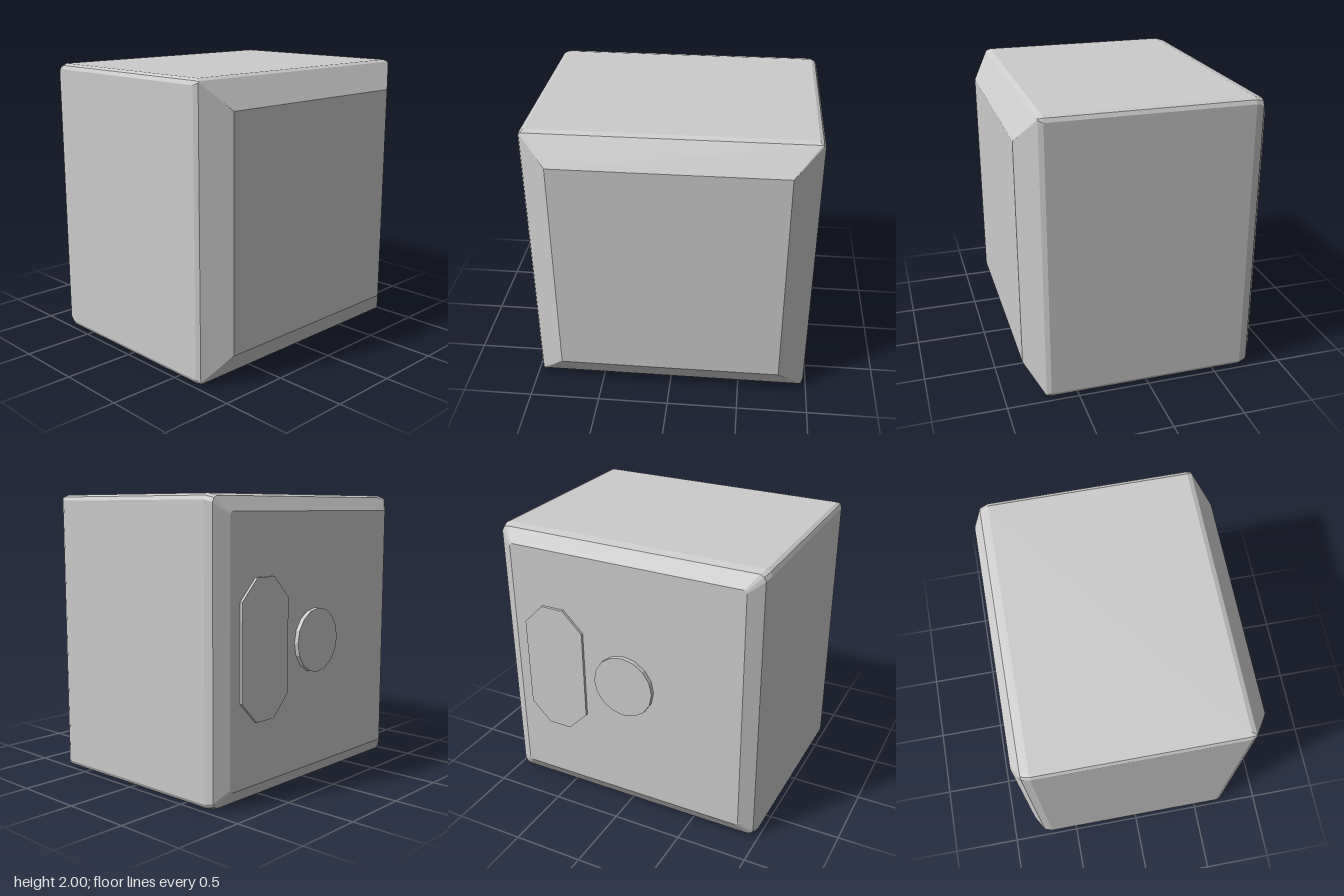
import * as THREE from 'three';

// Rectangle outline with two-step rounded corners, counterclockwise seen from +z
function section([z, hx, hy, c]) {
  const corner = [[0, c], [c * 0.35, c * 0.35], [c, 0]];
  const points = [];
  for (const [sx, sy] of [[1, 1], [-1, 1], [-1, -1], [1, -1]]) {
    const steps = sx * sy > 0 ? corner : [...corner].reverse();
    for (const [dx, dy] of steps) points.push(new THREE.Vector3(sx * (hx - dx), 1 + sy * (hy - dy), z));
  }
  return points;
}

// Skin the sections from front to back and close both ends
function loft(sections) {
  const pos = [];
  const tri = (...v) => v.forEach(p => pos.push(p.x, p.y, p.z));
  const loops = sections.map(section);
  const n = loops[0].length;
  const first = loops[0], last = loops[loops.length - 1];
  const frontMid = new THREE.Vector3(0, 1, first[0].z);
  const backMid = new THREE.Vector3(0, 1, last[0].z);
  for (let i = 0; i < n; i++) {
    const j = (i + 1) % n;
    for (let k = 0; k < loops.length - 1; k++) {
      const f = loops[k], b = loops[k + 1];
      tri(f[i], b[i], f[j]);
      tri(f[j], b[i], b[j]);
    }
    tri(frontMid, first[i], first[j]);
    tri(backMid, last[j], last[i]);
  }
  const geo = new THREE.BufferGeometry();
  geo.setAttribute('position', new THREE.Float32BufferAttribute(pos, 3));
  geo.computeVertexNormals();
  return geo;
}

export function createModel() {
  const group = new THREE.Group();
  const material = new THREE.MeshStandardMaterial({ color: 0xcccccc, flatShading: true });
  const add = (name, geometry) => {
    const mesh = new THREE.Mesh(geometry, material);
    mesh.name = name;
    group.add(mesh);
    return mesh;
  };

  // Main casing: broad bevel at the front, narrower bevel at the back
  add('casing', loft([
    [0.847, 0.787, 0.8, 0.001],
    [0.722, 0.965, 0.985, 0.01],
    [0.69, 0.98, 1.0, 0.04],
    [-0.7, 0.98, 1.0, 0.04],
    [-0.758, 0.963, 0.985, 0.04],
    [-0.817, 0.868, 0.89, 0.02],
  ]));

  // Round button in the middle of the back
  const button = add('backButton', new THREE.CylinderGeometry(0.224, 0.224, 0.05, 16));
  button.rotation.x = Math.PI / 2;
  button.position.set(0, 1.003, -0.823);

  // Tall plate with clipped corners beside the button
  const half = [[0.085, 0.47], [0.23, 0.325], [0.23, -0.325], [0.085, -0.47]];
  const outline = [...half, ...half.map(([x, y]) => [-x, -y])];
  const shape = new THREE.Shape(outline.map(([x, y]) => new THREE.Vector2(x, y)));
  const plate = add('backPlate', new THREE.ExtrudeGeometry(shape, { depth: 0.03, bevelEnabled: false }));
  plate.position.set(0.548, 1.003, -0.836);

  return group;
}
